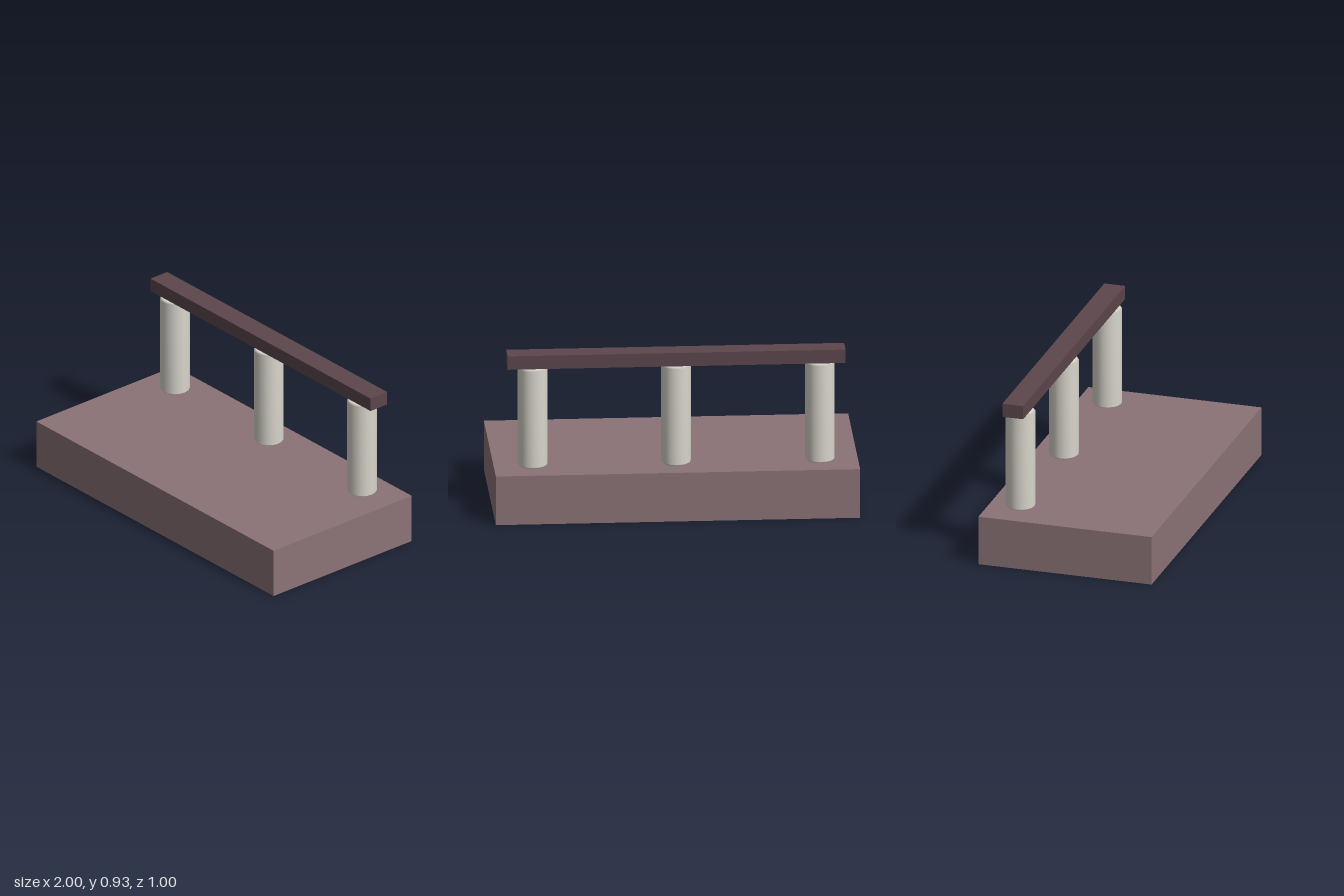
import * as THREE from 'three';

export function createModel() {
  const group = new THREE.Group();
  const material = (name, color) => {
    const m = new THREE.MeshStandardMaterial({ color });
    m.name = name;
    return m;
  };
  const slabMat = material('dusty mauve', 0x8c7377);
  const railMat = material('dark plum', 0x5c464c);
  const postMat = material('pale stone', 0xd9d6cc);

  const add = (name, geometry, mat, x, y, z) => {
    const mesh = new THREE.Mesh(geometry, mat);
    mesh.name = name;
    mesh.position.set(x, y, z);
    group.add(mesh);
  };

  // Base slab
  add('baseSlab', new THREE.BoxGeometry(2, 0.28, 0.995), slabMat, 0, 0.14, 0);

  // Round posts with a small chamfer at both ends
  const r = 0.082, h = 0.57, c = 0.01;
  const profile = [[0, 0], [r - c, 0], [r, c], [r, h - c], [r - c, h], [0, h]]
    .map(([x, y]) => new THREE.Vector2(x, y));
  const postGeometry = new THREE.LatheGeometry(profile, 16);
  [['rightPost', -0.79], ['middlePost', 0], ['leftPost', 0.787]].forEach(([name, x]) =>
    add(name, postGeometry, postMat, x, 0.286, -0.322));

  // Top rail resting on the posts
  add('topRail', new THREE.BoxGeometry(1.855, 0.077, 0.12), railMat, 0, 0.8945, -0.323);

  return group;
}
